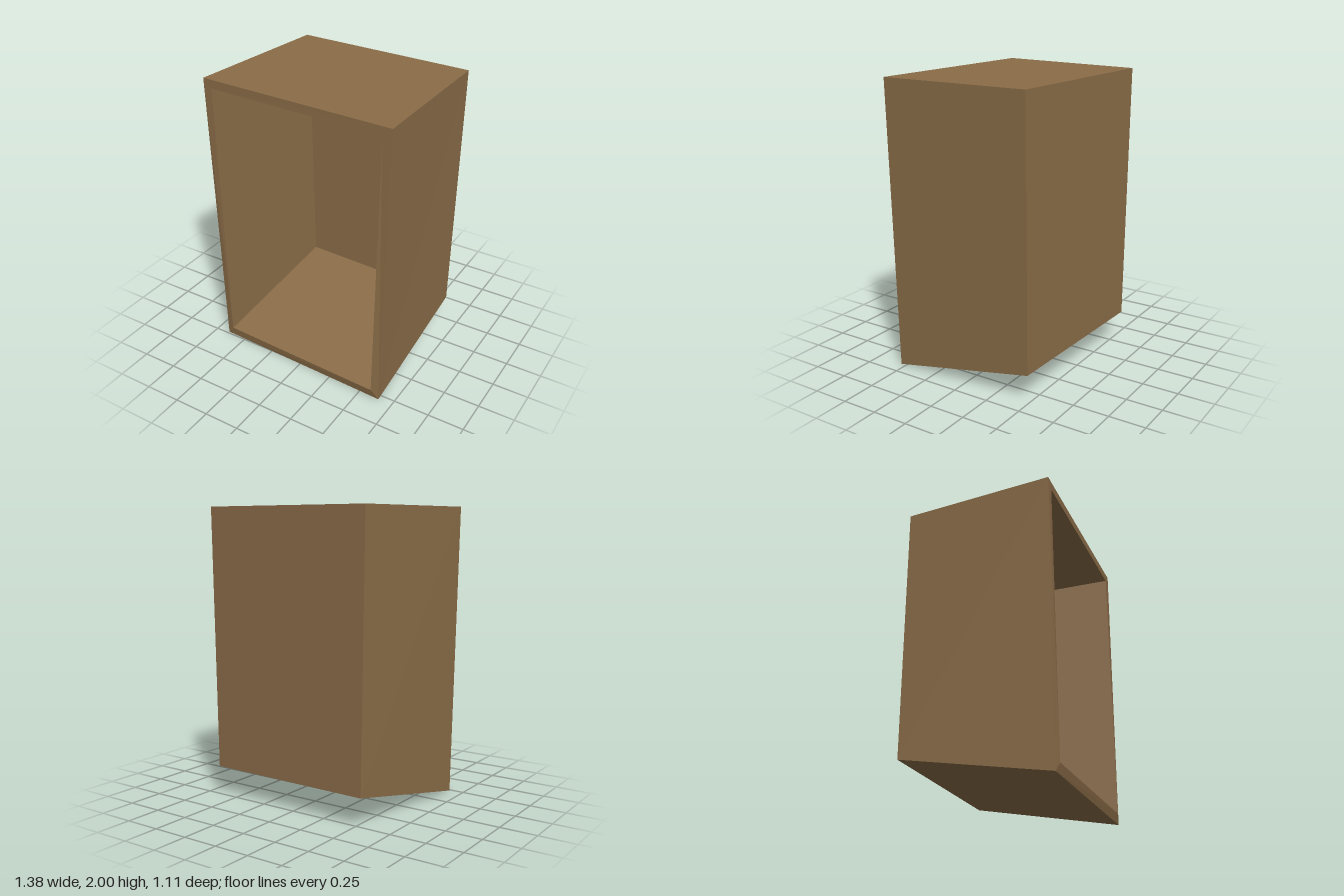
import * as THREE from 'three';

// Corners run front -x, front +x, back +x, back -x; 0-3 bottom, 4-7 top
const OUTER = [
  [-0.65, 0, 0.485], [0.65, 0, 0.54], [0.65, 0.2, -0.5], [-0.57, 0.21, -0.555],
  [-0.69, 2, 0.49], [0.69, 2, 0.55], [0.68, 2, -0.5], [-0.595, 2, -0.555],
];
const INNER = [
  [-0.6, 0.065, 0.497], [0.595, 0.065, 0.552], [0.598, 0.26, -0.445], [-0.51, 0.26, -0.497],
  [-0.63, 1.94, 0.492], [0.626, 1.94, 0.547], [0.623, 1.94, -0.445], [-0.535, 1.94, -0.497],
];

// Each panel: its four corners seen from outside, and its front edge
const PANELS = {
  floorPanel: { face: [3, 2, 1, 0], edge: [0, 1] },
  rightPanel: { face: [1, 2, 6, 5], edge: [1, 5] },
  topPanel: { face: [4, 5, 6, 7], edge: [5, 4] },
  leftPanel: { face: [3, 0, 4, 7], edge: [4, 0] },
  backPanel: { face: [2, 3, 7, 6] },
};

// Flat-shaded geometry from a list of four-cornered faces
function quads(faces) {
  const points = faces.flatMap(([a, b, c, d]) => [a, b, c, a, c, d]);
  const geometry = new THREE.BufferGeometry();
  geometry.setAttribute('position', new THREE.Float32BufferAttribute(points.flat(), 3));
  geometry.computeVertexNormals();
  return geometry;
}

export function createModel() {
  const group = new THREE.Group();
  group.name = 'openCrate';
  const wood = new THREE.MeshStandardMaterial({ color: 0x8b6d48 });
  wood.name = 'brown wood';

  // Thick leaning panels around the open front
  for (const [name, { face, edge }] of Object.entries(PANELS)) {
    const faces = [
      face.map((i) => OUTER[i]),
      [...face].reverse().map((i) => INNER[i]),
    ];
    if (edge) {
      const [a, b] = edge;
      faces.push([OUTER[a], OUTER[b], INNER[b], INNER[a]]);
    }
    const panel = new THREE.Mesh(quads(faces), wood);
    panel.name = name;
    group.add(panel);
  }

  // Small turned block under the ceiling
  const block = new THREE.Mesh(new THREE.BoxGeometry(0.21, 0.03, 0.21), wood);
  block.name = 'ceilingBlock';
  block.position.set(0.02, 1.942, 0);
  block.rotation.y = -0.44;
  group.add(block);

  return group;
}
